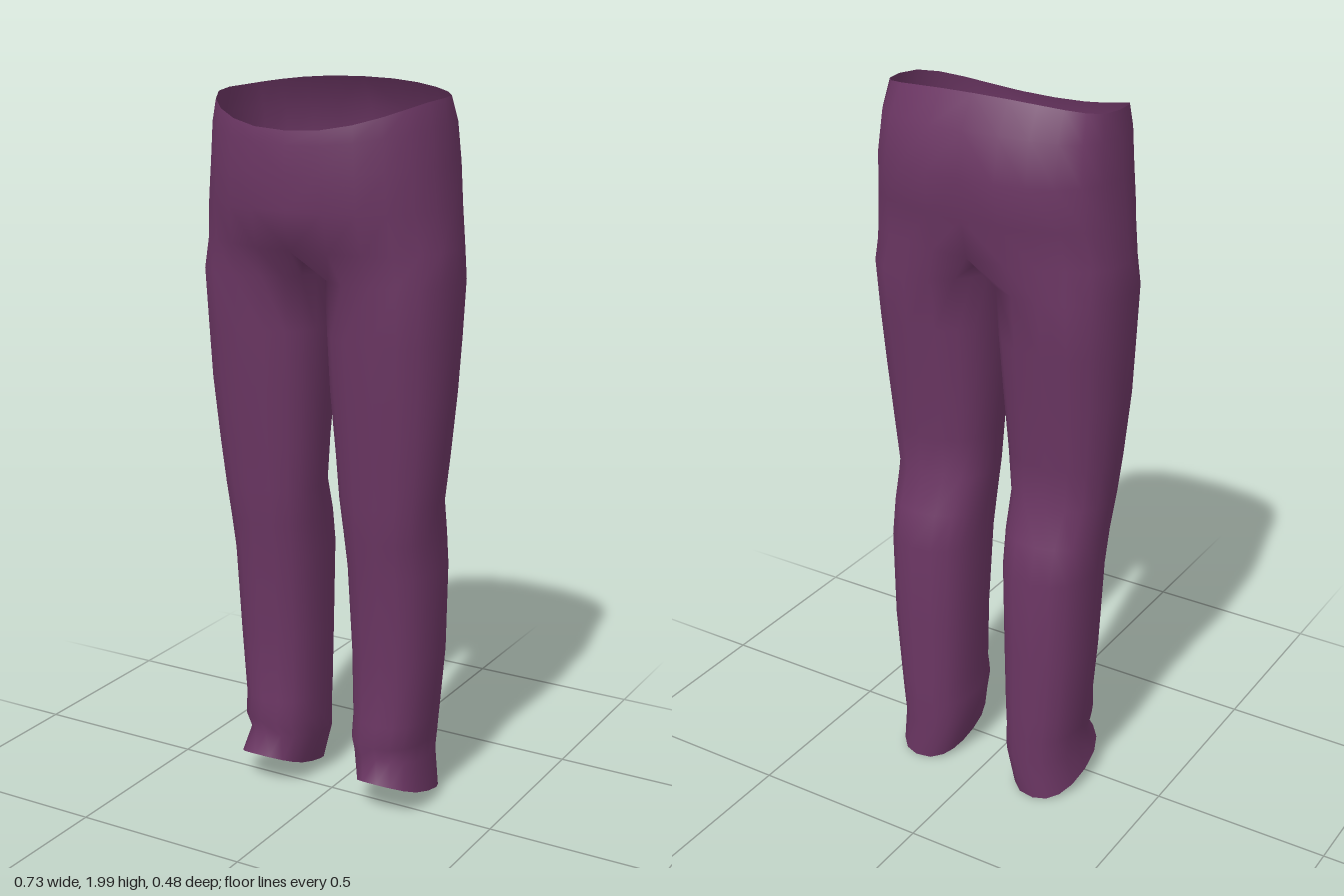
import * as THREE from 'three';
import { mergeVertices } from 'three/addons/utils/BufferGeometryUtils.js';

const OUTER = 12; // segments from front centre round the hip to back centre
const INNER = 5;  // points along the inseam
const power = (v, p) => Math.sign(v) * Math.abs(v) ** p;

// Pelvis rows: height, half width, front z, back z, front dip, back rise
const pelvis = [
  [1.965, 0.32, 0.232, -0.16, -0.075, 0.03],
  [1.9, 0.33, 0.24, -0.212, -0.045, 0.015],
  [1.8, 0.337, 0.241, -0.237, -0.02, 0],
  [1.69, 0.347, 0.24, -0.222, 0, 0],
  [1.585, 0.36, 0.215, -0.2, 0, 0],
];

// Leg rows: height, inner x, outer x, front z, back z, hem tilt
const leg = [
  [1.5, 0.01, 0.363, 0.17, -0.19, 0],
  [1.35, 0.014, 0.358, 0.158, -0.175, 0],
  [1.2, 0.02, 0.352, 0.146, -0.156, 0],
  [1.02, 0.034, 0.336, 0.128, -0.14, 0],
  [0.9, 0.042, 0.322, 0.118, -0.134, 0],
  [0.8, 0.048, 0.313, 0.11, -0.178, 0],
  [0.7, 0.052, 0.309, 0.095, -0.2, 0],
  [0.45, 0.06, 0.302, 0.076, -0.2, 0],
  [0.26, 0.066, 0.285, 0.076, -0.2, 0],
  [0.195, 0.068, 0.28, 0.09, -0.2, 0.005],
  [0.135, 0.068, 0.273, 0.068, -0.196, 0.02],
  [0.042, 0.092, 0.286, 0.1, -0.192, 0.05],
];

// Half ring from front centre to back centre
function pelvisRing([y, w, zf, zb, dip, rise]) {
  const ring = [];
  for (let i = 0; i <= OUTER; i++) {
    const t = Math.PI * i / OUTER, c = Math.cos(t);
    const x = i === OUTER ? 0 : w * Math.sin(t) ** 0.9;
    const zc = -0.01;
    const z = c > 0 ? zc + (zf - zc) * c ** 0.95 : zc + (zb - zc) * power(-c, 0.72);
    ring.push([x, y + c * c * (c > 0 ? dip : rise), z]);
  }
  return ring;
}

// Crotch seam from back to front, completing the last pelvis ring
function crotchSeam([y, , zf, zb]) {
  return Array.from({ length: INNER }, (_, k) => {
    const u = (k + 1) / (INNER + 1);
    return [0, y - 0.055 * Math.sin(Math.PI * u), zb + (zf - zb) * u];
  });
}

// Closed ring: outer arc first, then the inseam
function legRing([y, xi, xo, zf, zb, tilt]) {
  const ring = [], total = OUTER + 1 + INNER;
  for (let i = 0; i < total; i++) {
    const degrees = i <= OUTER ? -40 + 260 * i / OUTER : 220 + 100 * (i - OUTER) / (INNER + 1);
    const a = degrees * Math.PI / 180, s = Math.sin(a), c = Math.cos(a);
    ring.push([
      (xi + xo) / 2 + (xo - xi) / 2 * power(s, 0.85),
      y + tilt * c + tilt * 0.16 * c * c,
      (zf + zb) / 2 + (zf - zb) / 2 * power(c, 0.85),
    ]);
  }
  return ring;
}

export function createModel() {
  const positions = [], indices = [];

  // Joins successive rings with quads; side -1 mirrors and flips the winding
  function skin(rings, closed, side) {
    const n = rings[0].length, base = positions.length / 3;
    rings.flat().forEach(([x, y, z]) => positions.push(side * x, y, z));
    for (let r = 0; r < rings.length - 1; r++) {
      for (let i = 0; i < (closed ? n : n - 1); i++) {
        const a = base + r * n + i, b = base + r * n + (i + 1) % n;
        const c = a + n, d = b + n;
        if (side > 0) indices.push(a, c, b, b, c, d);
        else indices.push(a, b, c, b, d, c);
      }
    }
  }

  const hips = pelvis.map(pelvisRing);
  const top = [...hips[hips.length - 1], ...crotchSeam(pelvis[pelvis.length - 1])];
  for (const side of [1, -1]) {
    skin(hips, false, side);
    skin([top, ...leg.map(legRing)], true, side);
  }

  // Weld the halves so shading runs smoothly over the seams
  let geometry = new THREE.BufferGeometry();
  geometry.setAttribute('position', new THREE.Float32BufferAttribute(positions, 3));
  geometry.setIndex(indices);
  geometry = mergeVertices(geometry, 1e-4);
  geometry.computeVertexNormals();

  const plumCloth = new THREE.MeshStandardMaterial({ color: 0x6b3663, side: THREE.DoubleSide });
  plumCloth.name = 'plumCloth';
  const trousers = new THREE.Mesh(geometry, plumCloth);
  trousers.name = 'trousers';

  const model = new THREE.Group();
  model.name = 'trousersModel';
  model.add(trousers);
  return model;
}
